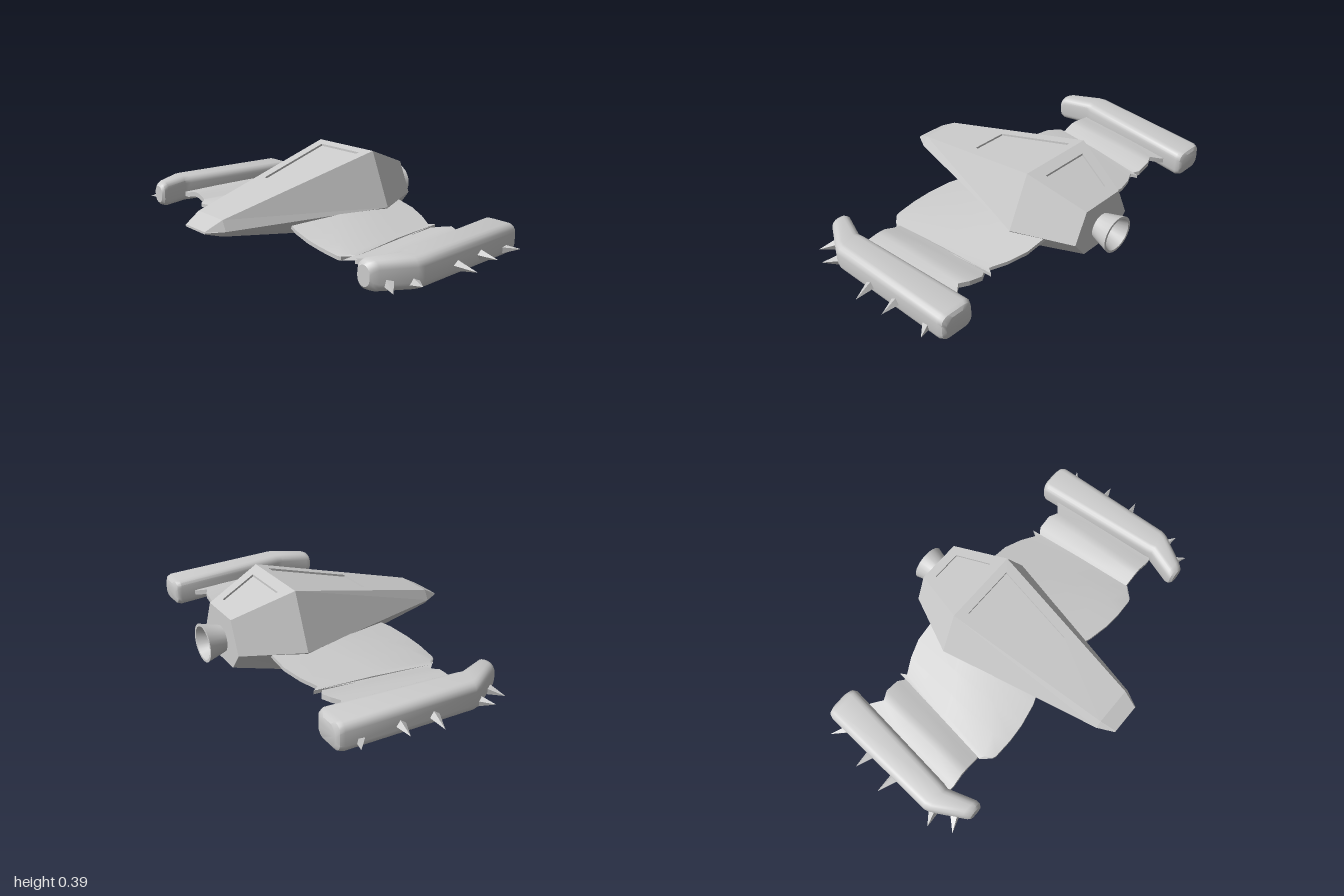
import * as THREE from 'three';
import { toCreasedNormals } from 'three/addons/utils/BufferGeometryUtils.js';

const grey = new THREE.MeshStandardMaterial({ color: 0xcccccc });
const faceted = new THREE.MeshStandardMaterial({ color: 0xcccccc, flatShading: true });
const twoSided = new THREE.MeshStandardMaterial({ color: 0xcccccc, side: THREE.DoubleSide });

const V = (x, y, z) => new THREE.Vector3(x, y, z);
const quad = (tris, a, b, c, d) => tris.push([a, b, c], [a, c, d]);

function addMesh(parent, name, geometry, material) {
  const mesh = new THREE.Mesh(geometry, material);
  mesh.name = name;
  parent.add(mesh);
  return mesh;
}

// Triangles to geometry, turned outward by the sign of the enclosed volume
function solid(tris, crease) {
  let volume = 0;
  for (const [a, b, c] of tris) volume += a.dot(b.clone().cross(c));
  const points = tris.flatMap(([a, b, c]) => (volume < 0 ? [a, c, b] : [a, b, c]));
  const g = new THREE.BufferGeometry().setFromPoints(points);
  g.computeVertexNormals();
  return toCreasedNormals(g, crease);
}

// Skin a row of equal-length loops and cap both ends
function loft(loops, skip = () => false) {
  const tris = [], n = loops[0].length;
  for (let i = 0; i < loops.length - 1; i++) {
    for (let j = 0; j < n; j++) {
      if (skip(i, j)) continue;
      const k = (j + 1) % n;
      quad(tris, loops[i][j], loops[i][k], loops[i + 1][k], loops[i + 1][j]);
    }
  }
  const first = loops[0], last = loops[loops.length - 1];
  for (let j = 1; j < n - 1; j++) {
    tris.push([first[0], first[j + 1], first[j]], [last[0], last[j], last[j + 1]]);
  }
  return tris;
}

// Six-sided hull with two sunken panels on its roof
function hull() {
  const loops = [ // z, roof half width, roof y, waist half width, waist y, keel half width, keel y
    [0.63, 0.075, 0.142, 0.08, 0.137, 0.075, 0.132],
    [0.55, 0.095, 0.185, 0.12, 0.137, 0.095, 0.11],
    [-0.26, 0.19, 0.395, 0.3, 0.137, 0.19, 0.003],
    [-0.54, 0.11, 0.29, 0.175, 0.14, 0.11, 0.055],
  ].map(([z, a, ya, b, yb, c, yc]) => [
    V(-a, ya, z), V(a, ya, z), V(b, yb, z), V(c, yc, z), V(-c, yc, z), V(-b, yb, z),
  ]);
  const tris = loft(loops, (i, j) => i > 0 && j === 0);
  const panels = { 1: [0.457, 0.65, 0.95, 0.73], 2: [0.18, 0.7, 0.82, 0.6] };
  for (const [key, [v0, w0, v1, w1]] of Object.entries(panels)) {
    const i = Number(key);
    const [l0, r0, r1, l1] = [loops[i][0], loops[i][1], loops[i + 1][1], loops[i + 1][0]];
    const at = (v, w) => {
      const p = r0.clone().lerp(r1, v);
      return V(p.x * w, p.y, p.z);
    };
    const outer = [l0, r0, r1, l1];
    const inner = [at(v0, -w0), at(v0, w0), at(v1, w1), at(v1, -w1)];
    const floor = inner.map((p) => V(p.x, p.y - 0.01, p.z));
    for (let k = 0; k < 4; k++) {
      const m = (k + 1) % 4;
      quad(tris, outer[k], outer[m], inner[m], inner[k]);
      quad(tris, inner[k], inner[m], floor[m], floor[k]);
    }
    quad(tris, ...floor);
  }
  return solid(tris, 0.1);
}

// Thin plate from rows of top points running back to front
const plate = (rows, thickness) => solid(loft(rows.map((row) => [
  ...row, ...row.map((p) => V(p.x, p.y - thickness, p.z)).reverse(),
])), 0.4);

// Inner wing: flat rear, ridge, and a drooping triangular leading panel
function innerWing(s) {
  const rows = [ // rear x,z  ridge x,z  front x,z,y
    [0.12, -0.41, 0.12, -0.1, 0.1, 0.2, 0.12],
    [0.24, -0.405, 0.24, 0.0, 0.22, 0.245, 0.108],
    [0.33, -0.4, 0.34, 0.09, 0.33, 0.265, 0.095],
    [0.42, -0.37, 0.45, 0.185, 0.42, 0.27, 0.085],
    [0.495, -0.33, 0.555, 0.225, 0.52, 0.265, 0.073],
    [0.512, -0.36, 0.578, 0.21, 0.535, 0.258, 0.072],
  ];
  const top = (x) => 0.13 - 0.19 * (x - 0.29);
  return plate(rows.map(([xr, zr, xm, zm, xf, zf, yf]) => [
    V(s * xr, top(xr) - 0.004, zr),
    V(s * (xr + xm) / 2, top((xr + xm) / 2) + 0.004, (zr + zm) / 2),
    V(s * xm, top(xm), zm),
    V(s * xf, yf, zf),
  ]), 0.018);
}

// Outer wing: arched web reaching into the pod
function outerWing(s) {
  const rows = [ // rear x,z  front x,z  y
    [0.5, -0.31, 0.56, 0.2, 0.072],
    [0.55, -0.345, 0.6, 0.2, 0.083],
    [0.62, -0.345, 0.65, 0.2, 0.103],
    [0.665, -0.322, 0.69, 0.2, 0.104],
    [0.71, -0.36, 0.75, 0.205, 0.09],
    [0.77, -0.4, 0.82, 0.2, 0.085],
  ];
  return plate(rows.map(([xr, zr, xf, zf, y]) => [0, 1 / 3, 2 / 3, 1].map((t) => V(
    s * (xr + (xf - xr) * t), y - 0.015 * t * t, zr + (zf - zr) * t))), 0.025);
}

// Wingtip pod: rounded rectangles along z, bent inward at the front
function pod(s) {
  const loops = [ // z, inner x, outer x, bottom y, top y
    [-0.475, 0.74, 0.865, 0.04, 0.135],
    [-0.465, 0.724, 0.88, 0.026, 0.149],
    [-0.445, 0.715, 0.888, 0.02, 0.155],
    [0.17, 0.775, 0.92, 0.02, 0.155],
    [0.2, 0.782, 0.912, 0.02, 0.155],
    [0.335, 0.737, 0.836, 0.022, 0.153],
    [0.355, 0.737, 0.825, 0.03, 0.145],
    [0.367, 0.747, 0.815, 0.042, 0.133],
  ].map(([z, x0, x1, y0, y1]) => {
    const r = 0.036, loop = [];
    const corners = [[x1 - r, y1 - r], [x0 + r, y1 - r], [x0 + r, y0 + r], [x1 - r, y0 + r]];
    corners.forEach(([cx, cy], q) => {
      for (let k = 0; k <= 4; k++) {
        const a = (q + k / 4) * Math.PI / 2;
        loop.push(V(s * (cx + r * Math.cos(a)), cy + r * Math.sin(a), z));
      }
    });
    return loop;
  });
  return solid(loft(loops), 0.6);
}

// Four-sided spike between two points
function spike(parent, base, tip) {
  const dir = tip.clone().sub(base);
  const mesh = addMesh(parent, 'spike', new THREE.ConeGeometry(0.025, dir.length(), 4), faceted);
  mesh.position.copy(base).lerp(tip, 0.5);
  mesh.quaternion.setFromUnitVectors(V(0, 1, 0), dir.normalize());
}

// Swept fin hanging below the wing
function fin(x, bottom, top) {
  const shape = new THREE.Shape([
    [0.02, bottom], [-0.21, bottom], [-0.23, top], [0.0, top],
  ].map(([z, y]) => new THREE.Vector2(-z, y)));
  return new THREE.ExtrudeGeometry(shape, { depth: 0.012, bevelEnabled: false })
    .translate(0, 0, -0.006).rotateY(Math.PI / 2).translate(x, 0, 0);
}

export function createModel() {
  const model = new THREE.Group();
  model.name = 'winged craft';
  addMesh(model, 'hull', hull(), faceted);

  // Flared exhaust with a hollow bell
  const profile = [[0, 0.02], [0.05, 0.02], [0.078, 0.092], [0.09, 0.092], [0.063, 0], [0.063, -0.03]];
  const bell = new THREE.LatheGeometry(profile.map(([r, y]) => new THREE.Vector2(r, y)), 24);
  const thruster = addMesh(model, 'thruster', toCreasedNormals(bell, 0.5), twoSided);
  thruster.rotation.x = -Math.PI / 2;
  thruster.position.set(0, 0.155, -0.54);

  for (const s of [1, -1]) {
    const wing = new THREE.Group();
    wing.name = s > 0 ? 'leftWing' : 'rightWing';
    model.add(wing);
    addMesh(wing, 'innerWing', innerWing(s), grey);
    addMesh(wing, 'outerWing', outerWing(s), grey);
    addMesh(wing, 'pod', pod(s), grey);
    for (const [x, bottom, top] of [[0.32, 0.027, 0.115], [0.465, 0.012, 0.085], [0.61, 0.003, 0.085]]) {
      addMesh(wing, 'fin', fin(s * x, bottom, top), grey);
    }
    const spikes = [ // base x,y,z  tip x,y,z
      [0.87, 0.058, -0.365, 0.948, 0.065, -0.415],
      [0.89, 0.077, -0.195, 0.982, 0.072, -0.21],
      [0.9, 0.07, -0.035, 1.0, 0.06, -0.055],
      [0.895, 0.055, 0.205, 0.97, 0.065, 0.235],
      [0.845, 0.06, 0.295, 0.917, 0.045, 0.34],
    ];
    for (const [x, y, z, tx, ty, tz] of spikes) spike(wing, V(s * x, y, z), V(s * tx, ty, tz));
  }
  return model;
}
